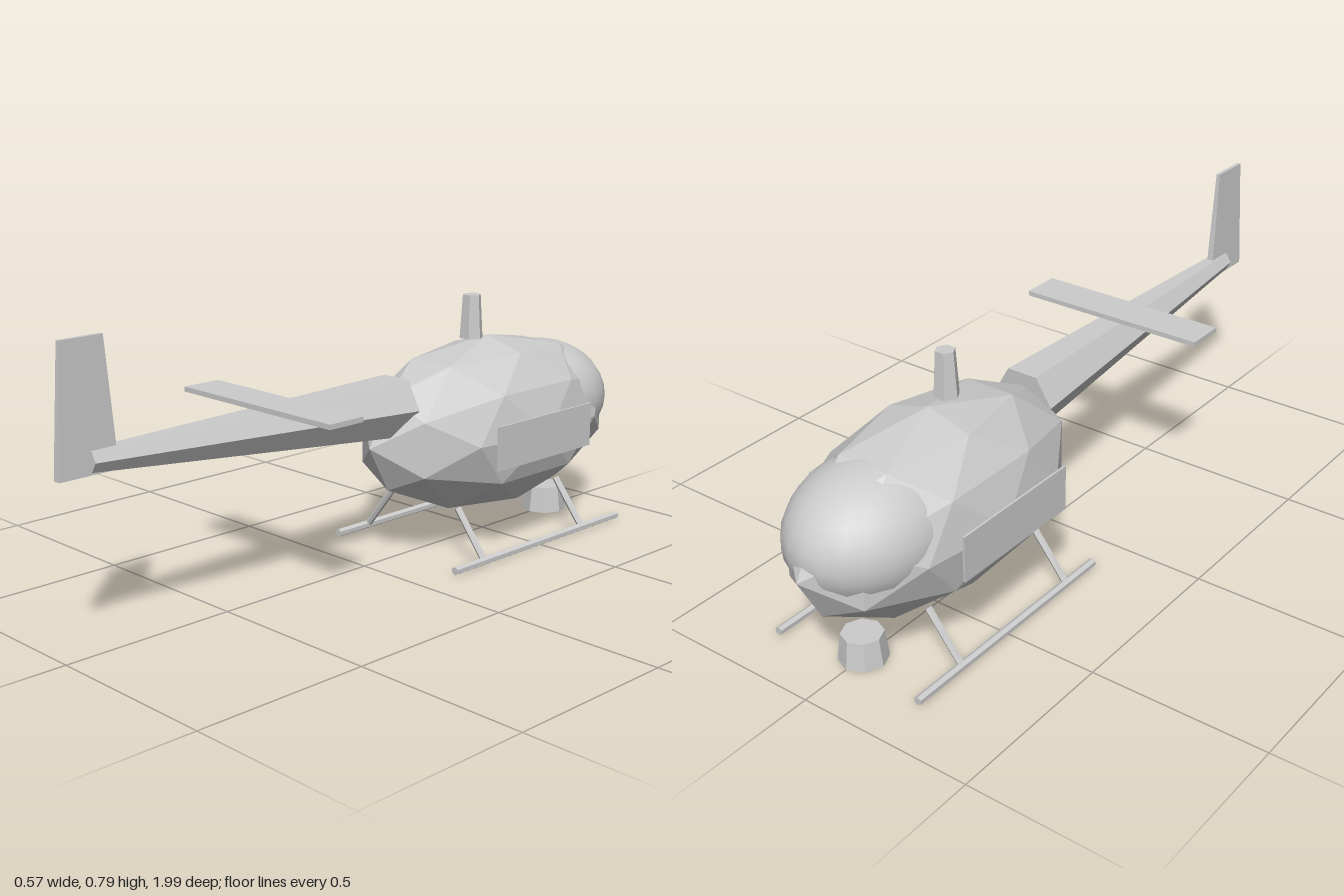
import * as THREE from 'three';

export function createModel() {
  const model = new THREE.Group();
  model.name = 'helicopter';
  const grey = new THREE.MeshStandardMaterial({ color: 0xcccccc });
  grey.name = 'light grey';

  // Facets come from split vertices, so one material serves flat and smooth parts
  function add(name, geometry, x = 0, y = 0, z = 0, smooth = false) {
    let g = geometry;
    if (!smooth) {
      if (g.index) g = g.toNonIndexed();
      g.computeVertexNormals();
    }
    const mesh = new THREE.Mesh(g, grey);
    mesh.name = name;
    mesh.position.set(x, y, z);
    model.add(mesh);
    return mesh;
  }

  // Tapered prism between two points
  function rod(name, a, b, ra, rb, sides, turn = 0) {
    const from = new THREE.Vector3(...a), to = new THREE.Vector3(...b);
    const dir = to.clone().sub(from);
    const geometry = new THREE.CylinderGeometry(rb, ra, dir.length(), sides);
    geometry.rotateY(turn);
    const mid = from.add(to).multiplyScalar(0.5);
    const mesh = add(name, geometry, mid.x, mid.y, mid.z);
    mesh.quaternion.setFromUnitVectors(new THREE.Vector3(0, 1, 0), dir.normalize());
    return mesh;
  }

  // Faceted egg-shaped cabin
  const cabin = new THREE.IcosahedronGeometry(1, 1);
  cabin.scale(0.245, 0.257, 0.487);
  add('cabin', cabin, 0, 0.338, -0.507);

  // Smooth canopy just breaking through the nose facets
  const canopy = new THREE.SphereGeometry(1, 24, 16);
  canopy.scale(0.2, 0.18, 0.255);
  add('canopy', canopy, 0, 0.37, -0.72, true);

  // Tail boom, stabiliser and mast
  rod('tailBoom', [0, 0.446, -0.122], [0, 0.49, 0.91], 0.093, 0.03, 6, Math.PI / 6);
  add('stabiliser', new THREE.BoxGeometry(0.57, 0.014, 0.115), 0, 0.531, 0.34);
  rod('mast', [0, 0.596, -0.435], [0, 0.723, -0.435], 0.035, 0.027, 6, Math.PI / 6);

  // Tail fin, a box narrowed towards its top
  const fin = new THREE.BoxGeometry(0.022, 0.333, 0.17);
  const p = fin.attributes.position;
  for (let i = 0; i < p.count; i++) {
    if (p.getY(i) > 0) {
      p.setX(i, p.getX(i) * 0.5);
      p.setZ(i, p.getZ(i) * 0.72 + 0.003);
    }
  }
  add('tailFin', fin, 0, 0.4565 + 0.1665, 0.915);

  // Pod under the nose
  rod('nosePod', [0, 0, -0.79], [0, 0.078, -0.79], 0.066, 0.056, 8);

  // Side panels and landing gear
  for (const [side, s] of [['left', 1], ['right', -1]]) {
    add(side + 'Panel', new THREE.BoxGeometry(0.006, 0.128, 0.41), s * 0.25, 0.337, -0.48);
    rod(side + 'Skid', [s * 0.234, 0.014, -0.855], [s * 0.234, 0.014, -0.122], 0.012, 0.012, 6);
    for (const z of [-0.245, -0.685]) {
      rod(side + 'Strut', [s * 0.13, 0.146, z], [s * 0.234, 0.014, z], 0.01, 0.01, 6);
    }
  }
  return model;
}
